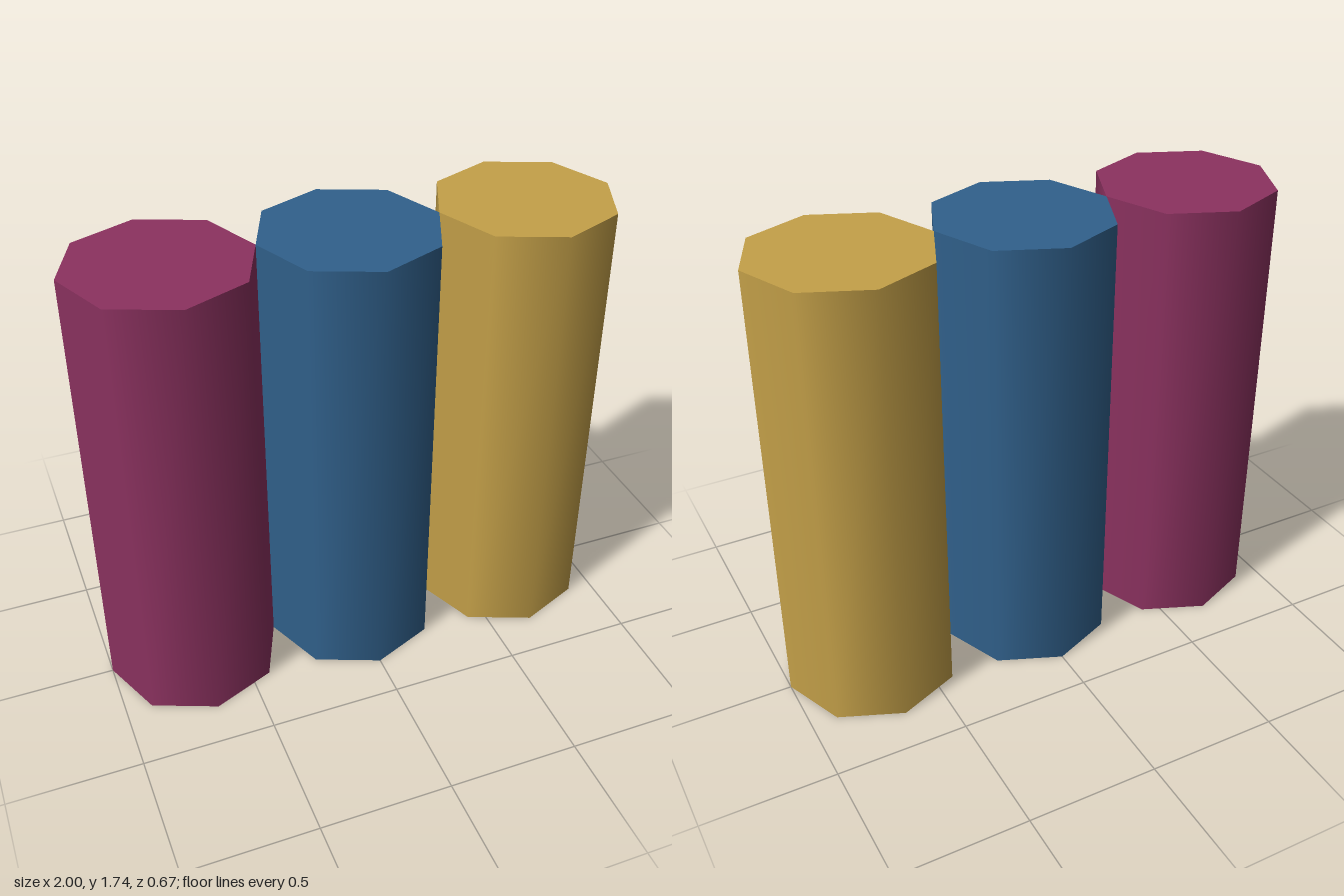
import * as THREE from 'three';

const RADIUS = 1 / 3;
const HEIGHT = 1.735;

function makeMaterial(name, color) {
  const material = new THREE.MeshStandardMaterial({ color });
  material.name = name;
  return material;
}

export function createModel() {
  const model = new THREE.Group();
  model.name = 'columnRow';

  // Smooth-shaded eight-sided column, corners on the x and z axes
  const column = new THREE.CylinderGeometry(RADIUS, RADIUS, HEIGHT, 8);

  // Three columns touching corner to corner, from right to left
  const columns = [
    ['rightColumn', makeMaterial('plum', 0x8c3260)],
    ['middleColumn', makeMaterial('blue', 0x31618c)],
    ['leftColumn', makeMaterial('ochre', 0xc5a149)],
  ];
  columns.forEach(([name, material], i) => {
    const mesh = new THREE.Mesh(column, material);
    mesh.name = name;
    mesh.position.set((i - 1) * 2 * RADIUS, HEIGHT / 2, 0);
    model.add(mesh);
  });

  return model;
}
